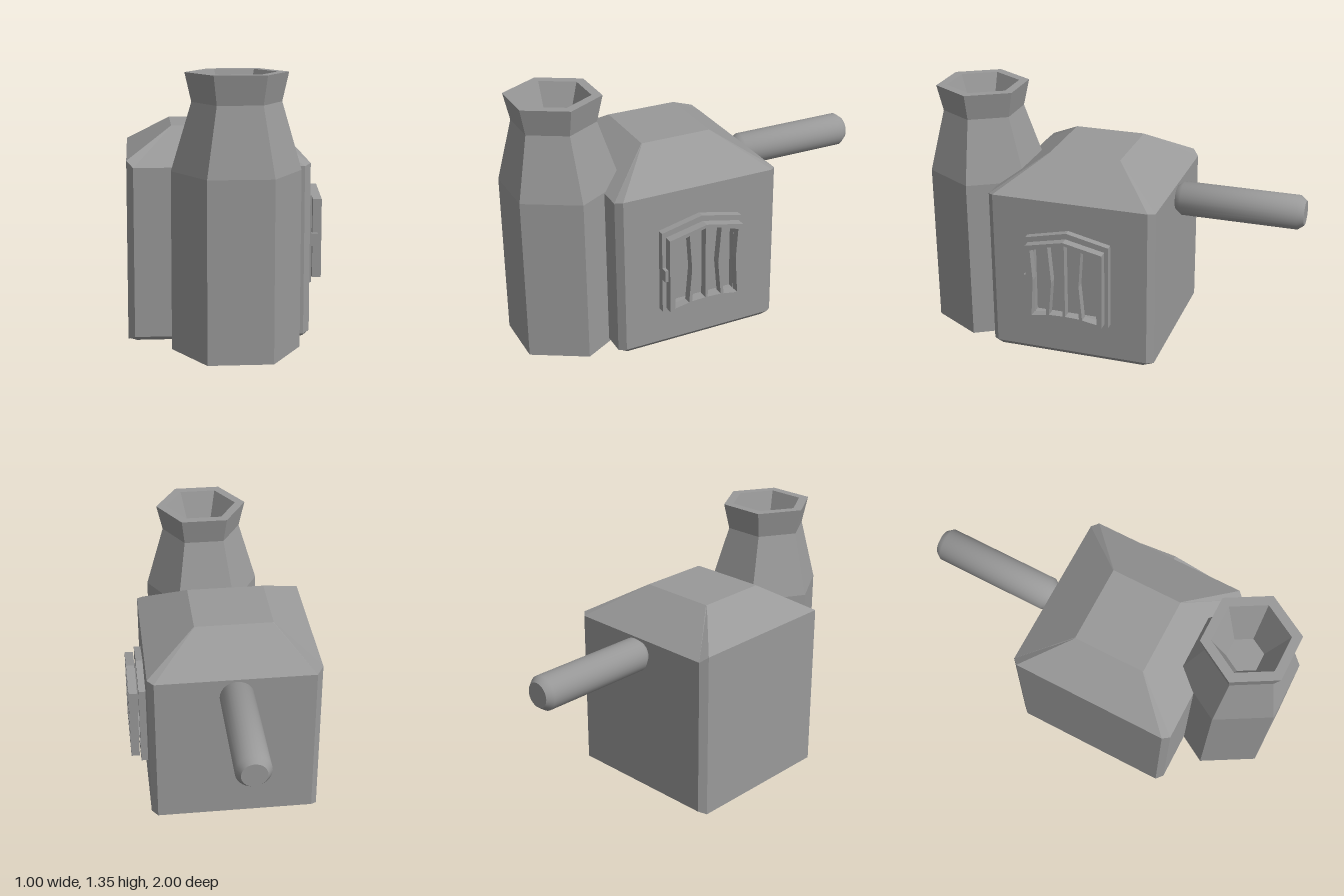
import * as THREE from 'three';
import { toCreasedNormals } from 'three/addons/utils/BufferGeometryUtils.js';

const material = new THREE.MeshStandardMaterial({ color: 0x999999, side: THREE.DoubleSide });

function addMesh(group, name, geometry) {
  const mesh = new THREE.Mesh(geometry, material);
  mesh.name = name;
  group.add(mesh);
  return mesh;
}

// Flat-shaded skin through rings of [x, y, z] points, closed at the end and optionally the start
function loft(rings, closeStart) {
  const n = rings[0].length;
  const index = [];
  for (let r = 0; r < rings.length - 1; r++) {
    for (let i = 0; i < n; i++) {
      const a = r * n + i, b = r * n + (i + 1) % n;
      index.push(a, b, b + n, a, b + n, a + n);
    }
  }
  const last = (rings.length - 1) * n;
  for (let i = 1; i < n - 1; i++) {
    index.push(last, last + i, last + i + 1);
    if (closeStart) index.push(0, i + 1, i);
  }
  const geometry = new THREE.BufferGeometry();
  geometry.setAttribute('position', new THREE.Float32BufferAttribute(rings.flat(2), 3));
  geometry.setIndex(index);
  const flat = geometry.toNonIndexed();
  flat.computeVertexNormals();
  return flat;
}

// Rectangle with cut corners; heights given for the right, back, left and front sides
function cutRect(x0, x1, z0, z1, c, [yr, yb, yl, yf]) {
  return [
    [x1, yr, z1 - c], [x1, yr, z0 + c], [x1 - c, yb, z0], [x0 + c, yb, z0],
    [x0, yl, z0 + c], [x0, yl, z1 - c], [x0 + c, yf, z1], [x1 - c, yf, z1],
  ];
}

function hexagon(radius, y, z) {
  return Array.from({ length: 6 }, (_, i) => {
    const a = i * Math.PI / 3;
    return [0.025 + radius * Math.cos(a), y, z - radius * Math.sin(a)];
  });
}

const points = (list) => list.map(([x, y]) => new THREE.Vector2(x, y));

// Five-sided outline with a low gable
const gable = (w, bottom, side, peak) =>
  points([[-w, bottom], [w, bottom], [w, side], [0, peak], [-w, side]]);

function sidePlate(outline, holes, x, depth) {
  const shape = new THREE.Shape(outline);
  holes.forEach((hole) => shape.holes.push(new THREE.Path(hole)));
  return new THREE.ExtrudeGeometry(shape, { depth, bevelEnabled: false })
    .rotateY(Math.PI / 2).translate(x, 0, 0.135);
}

export function createModel() {
  const model = new THREE.Group();
  model.name = 'furnace';

  // Box body, hollow underneath, with a hipped roof
  const level = (y) => [y, y, y, y];
  addMesh(model, 'body', loft([
    cutRect(-0.488, 0.38, -0.29, 0.565, 0.03, level(0.4)),
    cutRect(-0.488, 0.38, -0.29, 0.565, 0.03, level(0)),
    cutRect(-0.5, 0.408, -0.318, 0.583, 0.033, [0.03, 0.02, 0.003, 0.02]),
    cutRect(-0.5, 0.408, -0.318, 0.583, 0.033, [0.882, 0.875, 0.903, 0.872]),
    cutRect(-0.273, 0.143, -0.06, 0.325, 0.003, level(1.047)),
  ], true));

  // Hexagonal chimney, open below, with a flared, hollow mouth
  addMesh(model, 'chimney', loft([
    hexagon(0.313, 0, 0.729), hexagon(0.313, 0.878, 0.729), hexagon(0.215, 1.21, 0.745),
    hexagon(0.247, 1.35, 0.745), hexagon(0.193, 1.35, 0.745), hexagon(0.095, 1.1, 0.74),
  ], false));

  // Round pipe with softened ends, pointing back
  const pipe = new THREE.LatheGeometry(points([
    [0, 0], [0.065, 0], [0.09, 0.033], [0.09, 0.649], [0.065, 0.682], [0, 0.682],
  ]), 32).rotateX(-Math.PI / 2).translate(-0.047, 0.796, -0.318);
  addMesh(model, 'backPipe', toCreasedNormals(pipe, 0.75));

  // Grated door on the left side: surround, door with wavy bars, latch
  const door = new THREE.Group();
  door.name = 'gratedDoor';
  model.add(door);
  addMesh(door, 'doorSurround',
    sidePlate(gable(0.225, 0.228, 0.683, 0.734), [gable(0.18, 0.262, 0.645, 0.692)], 0.405, 0.04));

  const openings = [];
  for (const s of [-1, 1]) {
    openings.push(
      points([[s * 0.18, 0.264], [s * 0.1, 0.278], [s * 0.083, 0.47], [s * 0.097, 0.665],
        [s * 0.18, 0.638], [s * 0.168, 0.47]]),
      points([[s * 0.083, 0.281], [s * 0.007, 0.284], [s * 0.007, 0.688],
        [s * 0.083, 0.669], [s * 0.066, 0.47]]),
    );
  }
  addMesh(door, 'doorGrate',
    sidePlate(gable(0.207, 0.25, 0.661, 0.706), openings, 0.452, 0.046));

  const latch = addMesh(door, 'latch', new THREE.BoxGeometry(0.036, 0.065, 0.03));
  latch.position.set(0.46, 0.453, 0.345);

  return model;
}
